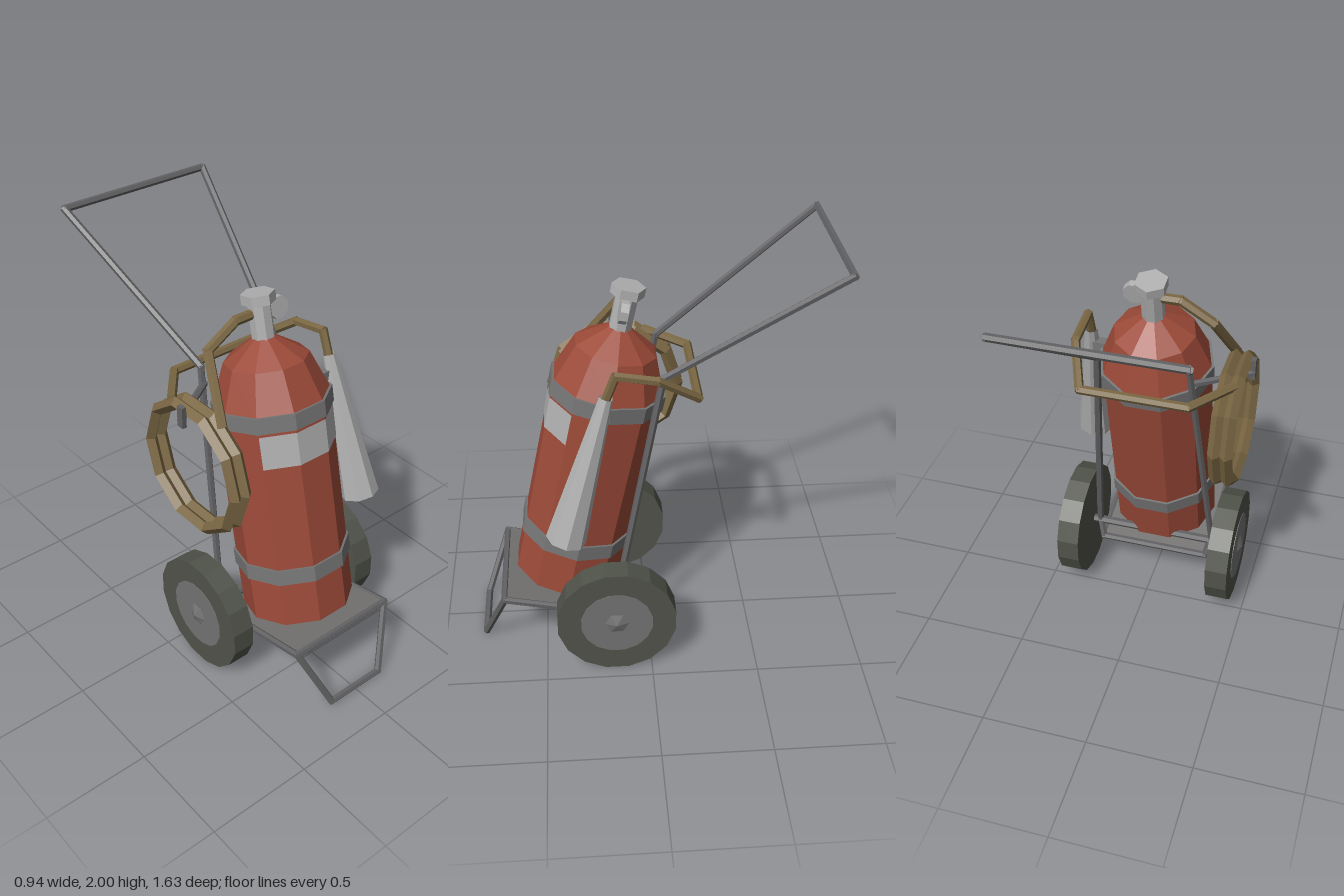
import * as THREE from 'three';

export function createModel() {
  const model = new THREE.Group();
  model.name = 'wheeledExtinguisher';

  const paint = (name, color, double = false) => {
    const m = new THREE.MeshStandardMaterial({ color, flatShading: true });
    m.name = name;
    if (double) m.side = THREE.DoubleSide;
    return m;
  };
  const red = paint('tankRed', 0x9c4a38);
  const bandGrey = paint('bandGrey', 0x767676);
  const pale = paint('paleMetal', 0xb0b0b0, true);
  const frameGrey = paint('frameGrey', 0x626264);
  const plateGrey = paint('plateGrey', 0x757371);
  const rubber = paint('tyreRubber', 0x50534a);
  const hubGrey = paint('hubGrey', 0x737373);
  const hoseBrown = paint('hoseBrown', 0x7a6743);

  const add = (parent, name, geometry, material, x = 0, y = 0, z = 0) => {
    const mesh = new THREE.Mesh(geometry, material);
    mesh.name = name;
    mesh.position.set(x, y, z);
    parent.add(mesh);
    return mesh;
  };

  // Straight segment between two points
  const rod = (parent, name, a, b, r0, r1, sides, material, open = false) => {
    const p = new THREE.Vector3(...a), q = new THREE.Vector3(...b);
    const dir = q.clone().sub(p);
    const mid = p.clone().add(q).multiplyScalar(0.5);
    const g = new THREE.CylinderGeometry(r1, r0, dir.length(), sides, 1, open);
    const mesh = add(parent, name, g, material, mid.x, mid.y, mid.z);
    mesh.quaternion.setFromUnitVectors(new THREE.Vector3(0, 1, 0), dir.normalize());
    return mesh;
  };

  // Bent pipe: segments overlap a little so the corners close
  const pipe = (name, points, radius, material) => {
    const group = new THREE.Group();
    group.name = name;
    for (let i = 0; i < points.length - 1; i++) {
      const a = new THREE.Vector3(...points[i]), b = new THREE.Vector3(...points[i + 1]);
      const ext = b.clone().sub(a).normalize().multiplyScalar(radius * 0.4);
      a.sub(ext);
      b.add(ext);
      rod(group, name + 'Segment', a.toArray(), b.toArray(), radius, radius, 6, material);
    }
    model.add(group);
  };

  // Leaning tank with everything fixed along its axis
  const tank = new THREE.Group();
  tank.name = 'tank';
  tank.position.set(0, 0.27, 0.395);
  tank.rotation.x = -0.209;
  model.add(tank);
  const turn = Math.PI / 10;
  const profile = [[0, 0], [0.2, 0], [0.26, 0.04], [0.26, 1.09], [0.19, 1.265], [0.05, 1.36], [0, 1.36]]
    .map(([r, y]) => new THREE.Vector2(r, y));
  add(tank, 'tankBody', new THREE.LatheGeometry(profile, 10, turn), red);
  for (const y of [0.298, 1.055])
    add(tank, 'tankBand', new THREE.CylinderGeometry(0.271, 0.271, 0.075, 10, 1, false, turn), bandGrey, 0, y, 0);
  add(tank, 'frontLabel',
    new THREE.CylinderGeometry(0.264, 0.264, 0.155, 3, 1, true, -3 * turn, 6 * turn), pale, 0, 0.925, 0);

  // Valve and gauge
  add(tank, 'valveNeck', new THREE.CylinderGeometry(0.052, 0.052, 0.2, 8, 1, false, Math.PI / 8), pale, 0, 1.43, 0);
  add(tank, 'valveCap', new THREE.CylinderGeometry(0.076, 0.076, 0.045, 6), pale, 0, 1.537, 0);
  const gauge = add(tank, 'gauge',
    new THREE.CylinderGeometry(0.052, 0.052, 0.035, 8, 1, false, Math.PI / 8), pale, 0.083, 1.47, 0.012);
  gauge.rotation.x = Math.PI / 2;

  // Wheels with an outer hub disc and pointed nut
  for (const side of [-1, 1]) {
    const wheel = new THREE.Group();
    wheel.name = side > 0 ? 'leftWheel' : 'rightWheel';
    wheel.position.set(side * 0.381, 0.278, 0.165);
    wheel.rotation.z = -side * Math.PI / 2;
    model.add(wheel);
    add(wheel, 'tyre', new THREE.CylinderGeometry(0.282, 0.282, 0.108, 16, 1, false, Math.PI / 16), rubber);
    add(wheel, 'hubDisc', new THREE.CylinderGeometry(0.17, 0.17, 0.006, 16, 1, false, Math.PI / 16), hubGrey, 0, 0.054, 0);
    add(wheel, 'hubNut', new THREE.ConeGeometry(0.062, 0.022, 6), hubGrey, 0, 0.066, 0);
  }
  pipe('axle', [[-0.36, 0.278, 0.165], [0.36, 0.278, 0.165]], 0.02, frameGrey);

  // Trolley frame
  const R = 0.017;
  for (const s of [-1, 1]) {
    pipe('sideRail', [[s * 0.21, 1.45, -0.06], [s * 0.295, 0.29, 0.165], [s * 0.27, 0.19, 0.14]], R, frameGrey);
    pipe('handleArm', [[s * 0.21, 1.45, -0.06], [s * 0.385, 1.983, -0.8]], R, frameGrey);
    pipe('baseRail', [[s * 0.27, 0.19, 0.14], [s * 0.275, 0.312, 0.69]], R, frameGrey);
    pipe('frontLeg', [[s * 0.275, 0.312, 0.69], [s * 0.15, 0.017, 0.8]], R, frameGrey);
  }
  pipe('handleGrip', [[-0.385, 1.983, -0.8], [0.385, 1.983, -0.8]], R, frameGrey);
  pipe('footBar', [[-0.15, 0.017, 0.8], [0.15, 0.017, 0.8]], R, frameGrey);
  pipe('baseFrontBar', [[-0.275, 0.312, 0.69], [0.275, 0.312, 0.69]], R, frameGrey);
  pipe('baseRearBar', [[-0.27, 0.19, 0.14], [0.27, 0.19, 0.14]], R, frameGrey);
  const plate = add(model, 'basePlate', new THREE.BoxGeometry(0.55, 0.015, 0.56), plateGrey, 0, 0.255, 0.415);
  plate.rotation.x = -0.215;

  // Coiled hose on its hanger
  pipe('hoseHanger', [[-0.21, 1.37, -0.04], [-0.455, 1.37, 0.12]], R, frameGrey);
  add(model, 'hangerStop', new THREE.BoxGeometry(0.022, 0.1, 0.035), frameGrey, -0.458, 1.39, 0.13);
  for (const x of [-0.357, -0.412]) {
    const coil = add(model, 'hoseCoil', new THREE.TorusGeometry(0.3, 0.03, 4, 10), hoseBrown, x, 1.105, 0.125);
    coil.rotation.y = Math.PI / 2;
  }
  pipe('valveHose', [[-0.03, 1.71, 0.085], [-0.13, 1.71, 0.085], [-0.28, 1.62, 0.085], [-0.355, 1.37, 0.27]],
    0.023, hoseBrown);
  pipe('hornHose', [[-0.4, 1.38, -0.02], [-0.245, 1.37, -0.21], [0.245, 1.37, -0.21],
    [0.318, 1.5, -0.03], [0.318, 1.53, 0.15], [0.318, 1.41, 0.195]], 0.021, hoseBrown);

  // Discharge horn, open at the bottom, and its bracket
  rod(model, 'horn', [0.375, 0.735, 0.385], [0.32, 1.43, 0.19], 0.092, 0.03, 8, pale, true);
  add(model, 'hornBracket', new THREE.BoxGeometry(0.08, 0.065, 0.05), bandGrey, 0.27, 1.33, 0.2);

  return model;
}
